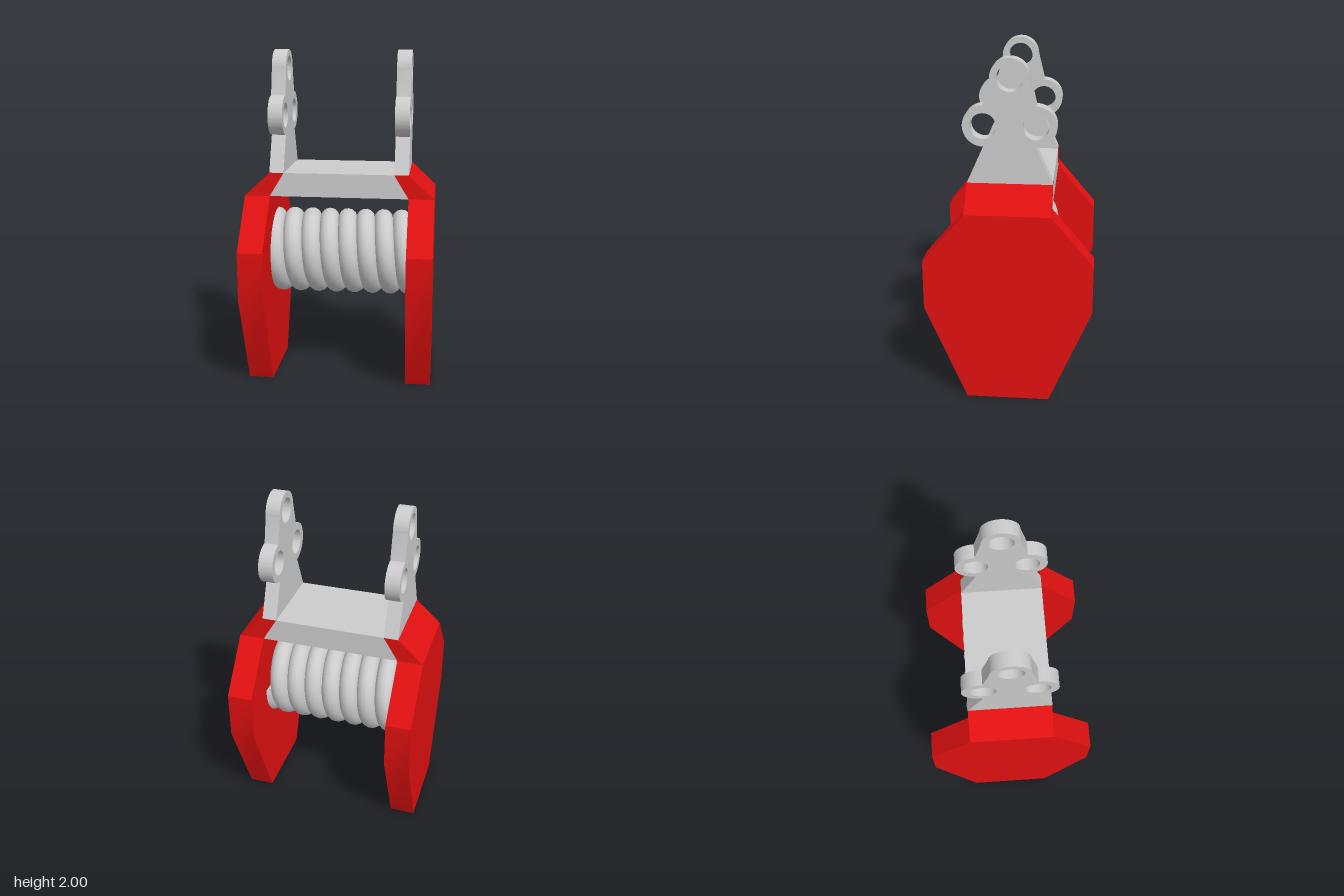
import * as THREE from 'three';
import { toCreasedNormals } from 'three/addons/utils/BufferGeometryUtils.js';

const red = new THREE.MeshStandardMaterial({ color: 0xe01010 });
const grey = new THREE.MeshStandardMaterial({ color: 0xcccccc });

const INNER = 0.41, OUTER = 0.56, NECK = 0.325; // x of plate faces and bracket inner face
const SHOULDER = 1.155, DECK = 1.295;           // y of plate top and beam top
const HALF = 0.242;                             // half depth of the beam

function part(name, geometry, material) {
  const mesh = new THREE.Mesh(geometry, material);
  mesh.name = name;
  return mesh;
}

const polygon = (points) => new THREE.Shape(points.map(([x, y]) => new THREE.Vector2(x, y)));

// Extrude an (x, y) outline along z, centred
function alongZ(shape, depth) {
  return new THREE.ExtrudeGeometry(shape, { depth, bevelEnabled: false }).translate(0, 0, -depth / 2);
}

// Extrude a (z, y) outline between two x positions
function alongX(shape, x0, x1) {
  const geo = new THREE.ExtrudeGeometry(shape, { depth: x1 - x0, bevelEnabled: false, curveSegments: 24 });
  return toCreasedNormals(geo.rotateY(-Math.PI / 2).translate(x1, 0, 0), 0.5);
}

// Hanger outline: flared foot, two side rings and a top ring
function hangerShape() {
  const sideZ = 0.147, sideY = 1.624, sideR = 0.116, topY = 1.89, topR = 0.11, holeR = 0.073;
  const s = new THREE.Shape();
  s.moveTo(-HALF, DECK);
  s.lineTo(HALF, DECK);
  s.lineTo(sideZ, sideY - sideR);
  s.absarc(sideZ, sideY, sideR, -Math.PI / 2, Math.PI / 2, false);
  s.lineTo(topR, topY);
  s.absarc(0, topY, topR, 0, Math.PI, false);
  s.lineTo(-sideZ, sideY + sideR);
  s.absarc(-sideZ, sideY, sideR, Math.PI / 2, Math.PI * 1.5, false);
  s.closePath();
  for (const [z, y] of [[0, topY], [sideZ, sideY], [-sideZ, sideY]]) {
    s.holes.push(new THREE.Path().absarc(z, y, holeR, 0, Math.PI * 2, true));
  }
  return s;
}

// Cable path: eight turns about the x axis, both ends at the back
class Coil extends THREE.Curve {
  getPoint(t, target = new THREE.Vector3()) {
    const a = t * 8 * Math.PI * 2 - Math.PI / 2;
    return target.set((t - 0.5) * 0.892, 0.77 + 0.204 * Math.cos(a), 0.204 * Math.sin(a));
  }
}

function cable() {
  const group = new THREE.Group();
  group.name = 'cable';
  const path = new Coil();
  path.arcLengthDivisions = 800;
  const radius = 0.058;
  group.add(part('cableCoil', new THREE.TubeGeometry(path, 320, radius, 14, false), grey));
  // Flat ends
  for (const t of [0, 1]) {
    const cap = part('cableEnd', new THREE.CircleGeometry(radius, 14), grey);
    const outward = path.getTangent(t).multiplyScalar(t ? 1 : -1);
    cap.position.copy(path.getPoint(t));
    cap.quaternion.setFromUnitVectors(new THREE.Vector3(0, 0, 1), outward);
    group.add(cap);
  }
  return group;
}

export function createModel() {
  const model = new THREE.Group();
  model.name = 'winch';

  const plate = polygon([
    [-HALF, 0], [HALF, 0], [0.485, 0.58], [0.485, 0.867],
    [HALF, SHOULDER], [-HALF, SHOULDER], [-0.485, 0.867], [-0.485, 0.58],
  ]);
  const hanger = hangerShape();

  for (const [side, s] of [['left', 1], ['right', -1]]) {
    const span = (a, b) => (s > 0 ? [a, b] : [-b, -a]);
    model.add(part(side + 'Plate', alongX(plate, ...span(INNER, OUTER)), red));
    model.add(part(side + 'Hanger', alongX(hanger, ...span(NECK, INNER)), grey));
    // Slanted shoulder joining plate and beam
    const shoulder = polygon([
      [s * INNER, SHOULDER], [s * OUTER, SHOULDER], [s * INNER, DECK], [s * NECK, DECK],
    ]);
    model.add(part(side + 'Shoulder', alongZ(shoulder, HALF * 2), red));
  }

  // Cross beam with slanted ends
  const beam = polygon([[-INNER, SHOULDER], [INNER, SHOULDER], [NECK, DECK], [-NECK, DECK]]);
  model.add(part('crossBeam', alongZ(beam, HALF * 2), grey));

  model.add(cable());
  return model;
}
